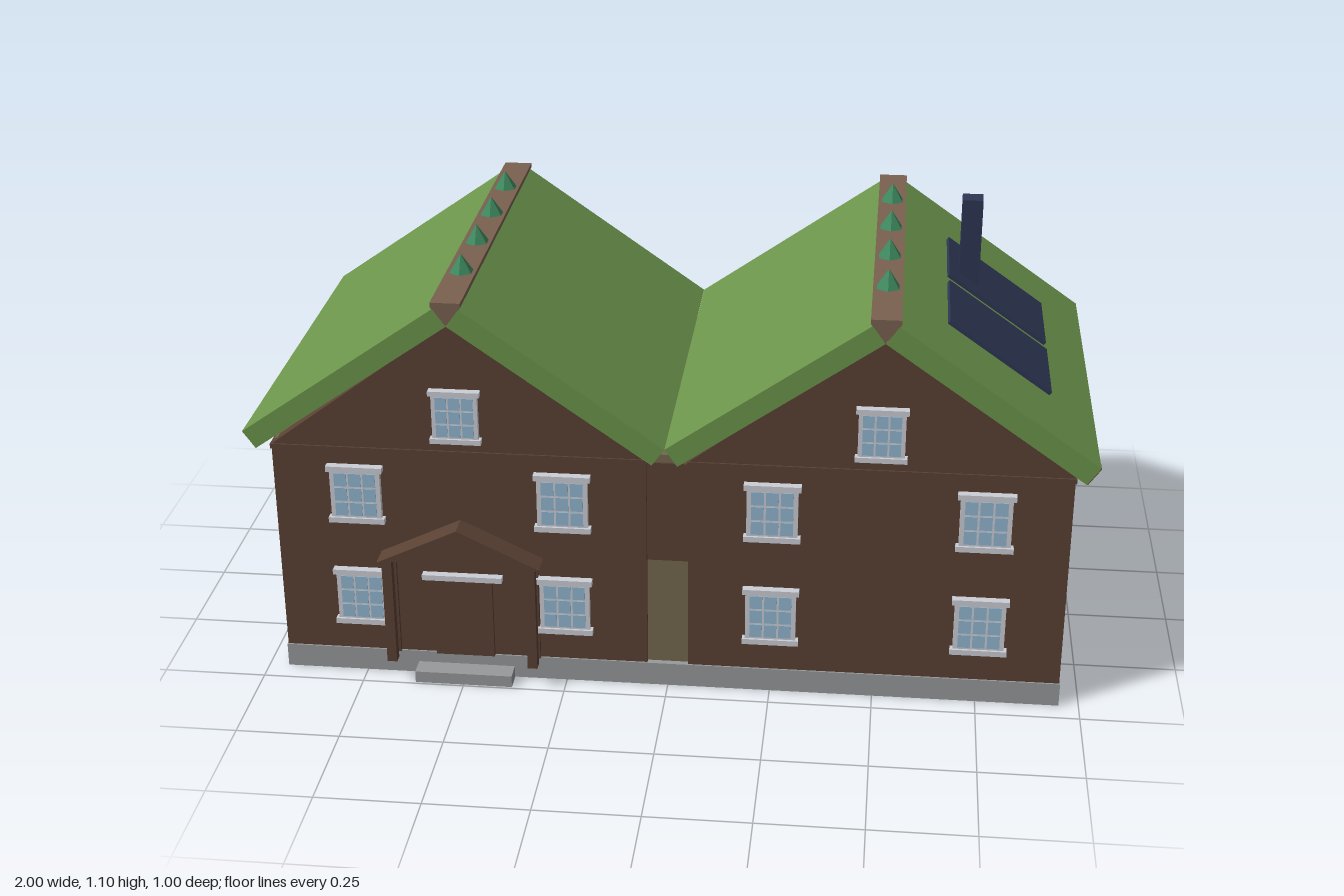
import * as THREE from 'three';

const mat = (name, color) => {
  const m = new THREE.MeshStandardMaterial({ color });
  m.name = name;
  return m;
};
const M = {
  timber: mat('dark timber', 0x5a4134),
  plaster: mat('tan wall', 0x75674f),
  ridge: mat('ridge brown', 0x7a6150),
  turf: mat('turf green', 0x6c944b),
  shrub: mat('shrub green', 0x3f8a60),
  stone: mat('foundation grey', 0x97999b),
  frame: mat('frame white', 0xcbced6),
  glass: mat('glass blue', 0x92b6d0),
  navy: mat('panel navy', 0x2d3653),
};

function add(parent, name, geo, material, x = 0, y = 0, z = 0) {
  const mesh = new THREE.Mesh(geo, material);
  mesh.name = name;
  mesh.position.set(x, y, z);
  parent.add(mesh);
  return mesh;
}

// box given by its min and max along each axis
function block(parent, name, material, [x0, x1], [y0, y1], [z0, z1]) {
  const geo = new THREE.BoxGeometry(x1 - x0, y1 - y0, z1 - z0);
  return add(parent, name, geo, material, (x0 + x1) / 2, (y0 + y1) / 2, (z0 + z1) / 2);
}

// polygon in the xy plane, extruded from z0 to z1
function prism(parent, name, material, points, z0, z1, x = 0) {
  const shape = new THREE.Shape(points.map(([px, py]) => new THREE.Vector2(px, py)));
  const geo = new THREE.ExtrudeGeometry(shape, { depth: z1 - z0, bevelEnabled: false });
  return add(parent, name, geo, material, x, 0, z0);
}

// window whose back lies on its local z = 0
function makeWindow(parent, x, y, z, turn = 0, size = 1) {
  const w = new THREE.Group();
  w.name = 'window';
  block(w, 'windowFrame', M.frame, [-0.061, 0.061], [-0.073, 0.073], [0, 0.014]);
  block(w, 'windowLintel', M.frame, [-0.068, 0.068], [0.061, 0.075], [0, 0.02]);
  block(w, 'windowSill', M.frame, [-0.068, 0.068], [-0.075, -0.061], [0, 0.02]);
  for (let c = -1; c <= 1; c++)
    for (let r = -1; r <= 1; r++)
      add(w, 'windowPane', new THREE.BoxGeometry(0.03, 0.034, 0.003), M.glass, c * 0.035, r * 0.039, 0.0145);
  w.position.set(x, y, z);
  w.rotation.y = turn;
  w.scale.set(size, size, 1);
  parent.add(w);
}

// one roof pitch; side is the direction in which it falls
const SLOPE = 0.612, LENGTH = 0.574, THICK = 0.052;
function makePitch(parent, ridgeX, side) {
  const pitch = new THREE.Group();
  pitch.name = 'roofPitch';
  add(pitch, 'turfSlab', new THREE.BoxGeometry(LENGTH, THICK, 1), M.turf);
  pitch.position.set(ridgeX + side * 0.25, 0.8135, 0);
  pitch.rotation.z = -side * SLOPE;
  parent.add(pitch);
  return pitch;
}

export function createModel() {
  const house = new THREE.Group();
  house.name = 'house';

  // foundation and stacked wall bands
  block(house, 'foundation', M.stone, [-0.952, 0.952], [0, 0.06], [-0.445, 0.445]);
  block(house, 'lowerWalls', M.plaster, [-0.946, 0.946], [0.06, 0.34], [-0.43, 0.43]);
  block(house, 'upperWalls', M.timber, [-0.946, 0.946], [0.34, 0.6], [-0.43, 0.43]);
  block(house, 'wallPlate', M.plaster, [-0.946, 0.946], [0.6, 0.62], [-0.425, 0.425]);

  // the two gabled halves
  for (const s of [-1, 1]) {
    const cx = s * 0.5;
    block(house, 'frontCladding', M.timber, [cx - 0.45, cx + 0.45], [0.06, 0.6], [0.43, 0.441]);
    const gable = [[-0.45, 0.6], [0.45, 0.6], [0.45, 0.612], [0, 0.948], [-0.45, 0.612]];
    prism(house, 'frontGable', M.timber, gable, 0.4, 0.441, cx);
    prism(house, 'backGable', M.timber, gable, -0.433, -0.4, cx);
    block(house, 'frontGableBeam', M.timber, [cx - 0.453, cx + 0.453], [0.6, 0.613], [0.4, 0.445]);
    block(house, 'backGableBeam', M.timber, [cx - 0.453, cx + 0.453], [0.6, 0.613], [-0.445, -0.4]);

    // turf roof, ridge beam and shrubs
    for (const side of [-1, 1]) {
      const pitch = makePitch(house, cx, side);
      if (s === 1 && side === 1) {
        block(pitch, 'eaveEnd', M.timber, [LENGTH / 2, LENGTH / 2 + 0.002], [-0.025, 0.025], [0.47, 0.499]);
        for (const z of [-0.15, 0.15])
          block(pitch, 'solarPanel', M.navy, [-0.15, 0.15], [THICK / 2, THICK / 2 + 0.009], [z - 0.13, z + 0.13]);
      }
    }
    prism(house, 'ridgeBeam', M.ridge, [[0, 0.958], [0.035, 1.004], [0.035, 1.015], [-0.035, 1.015], [-0.035, 1.004]], -0.5, 0.5, cx);
    for (const z of [-0.3, -0.1, 0.1, 0.3]) {
      const cone = new THREE.ConeGeometry(0.03, 0.045, 6).toNonIndexed();
      cone.computeVertexNormals();
      add(house, 'ridgeShrub', cone, M.shrub, cx, 1.0375, z);
    }

    // windows of this half
    for (const x of [cx - 0.25, cx + 0.25])
      for (const y of [0.212, 0.492]) makeWindow(house, x, y, 0.441);
    makeWindow(house, cx, 0.707, 0.441, 0, 0.9);
    makeWindow(house, cx, 0.707, -0.433, Math.PI, 0.9);
    for (const y of [0.212, 0.492]) makeWindow(house, s * 0.946, y, 0, s * Math.PI / 2);
  }
  for (const x of [-0.635, 0, 0.635])
    for (const y of [0.212, 0.492]) makeWindow(house, x, y, -0.43, Math.PI);

  // chimney
  block(house, 'chimney', M.navy, [0.672, 0.722], [0.62, 1.1], [-0.126, -0.076]);

  // porch with door, posts, pediment and step
  const porch = new THREE.Group();
  porch.name = 'porch';
  porch.position.x = -0.5;
  house.add(porch);
  block(porch, 'door', M.timber, [-0.072, 0.072], [0.06, 0.27], [0.441, 0.453]);
  block(porch, 'doorLintel', M.frame, [-0.098, 0.098], [0.27, 0.284], [0.441, 0.461]);
  prism(porch, 'porchPediment', M.timber, [[-0.18, 0.335], [0.18, 0.335], [0, 0.415]], 0.441, 0.494);
  for (const s of [-1, 1]) {
    const pitch = [[0, 0.43], [0, 0.415], [s * 0.185, 0.33], [s * 0.198, 0.335]];
    prism(porch, 'porchRoof', M.timber, pitch, 0.441, 0.502);
    block(porch, 'porchPost', M.timber, [s * 0.174 - 0.012, s * 0.174 + 0.012], [0.06, 0.338], [0.476, 0.5]);
    block(porch, 'porchPilaster', M.timber, [s * 0.174 - 0.012, s * 0.174 + 0.012], [0.06, 0.338], [0.441, 0.452]);
  }
  block(porch, 'doorStep', M.stone, [-0.12, 0.12], [0, 0.03], [0.445, 0.494]);

  return house;
}
